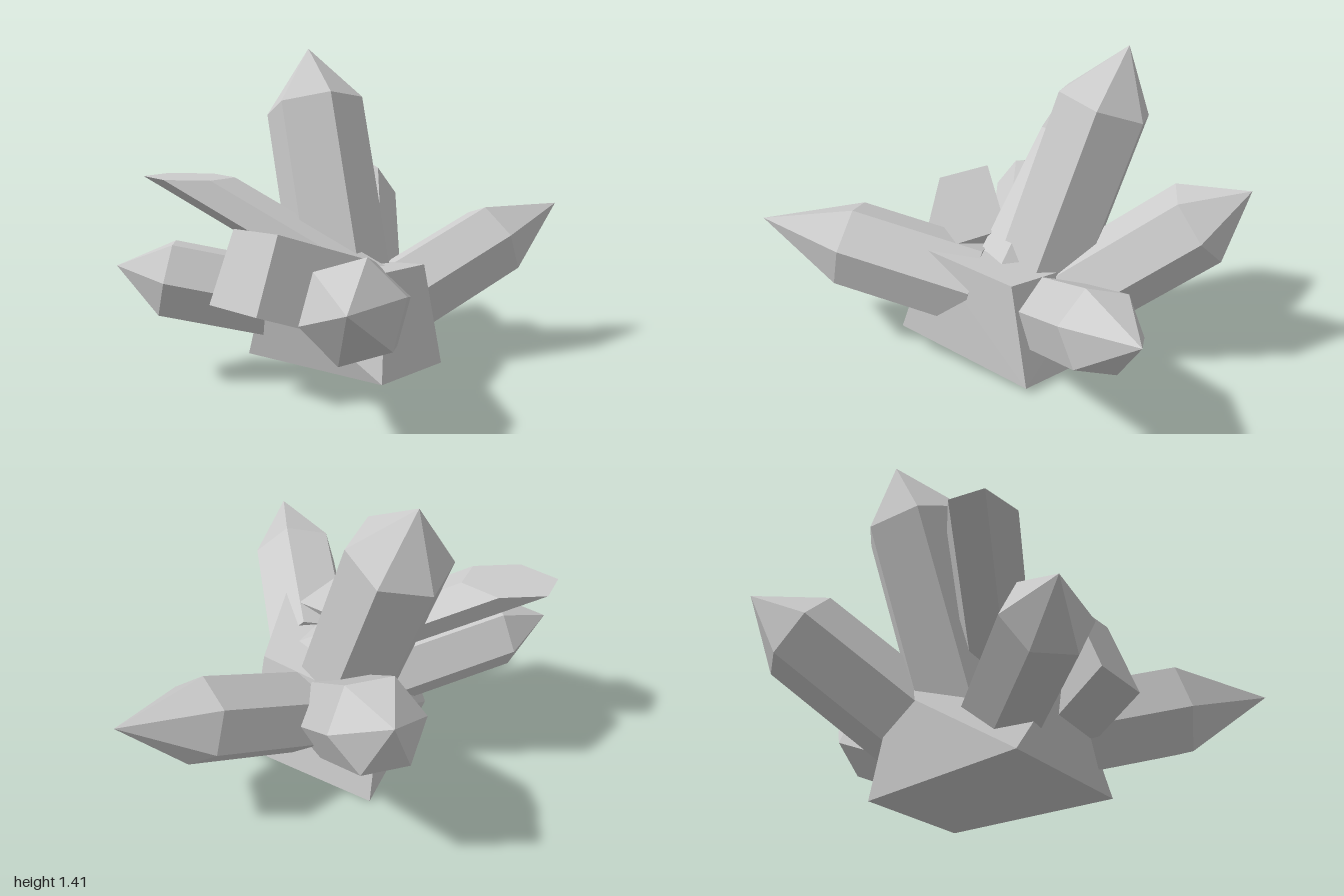
import * as THREE from 'three';
import { ConvexGeometry } from 'three/addons/geometries/ConvexGeometry.js';

const V = (a) => new THREE.Vector3(...a);
const material = new THREE.MeshStandardMaterial({ color: 0xcccccc, flatShading: true });

// Six-sided prism from base to shoulder, closed by a point at tip.
// corner fixes radius and roll; nextCorner is given only for an oblique cut.
function crystal({ name, base, shoulder, tip, corner, nextCorner }) {
  const b = V(base), s = V(shoulder), t = V(tip);
  const p = V(corner).sub(s);
  let q;
  if (nextCorner) {
    q = V(nextCorner).sub(s);
  } else {
    const n = s.clone().sub(b).normalize();
    const radius = p.length();
    p.addScaledVector(n, -p.dot(n)).setLength(radius);
    q = p.clone().applyAxisAngle(n, Math.PI / 3);
  }
  const half = [p, q, q.clone().sub(p)];
  const offsets = [...half, ...half.map((o) => o.clone().negate())];
  const low = offsets.map((o) => b.clone().add(o));
  const high = offsets.map((o) => s.clone().add(o));
  const points = [];
  for (let i = 0; i < 6; i++) {
    const j = (i + 1) % 6;
    points.push(low[i], low[j], high[j], low[i], high[j], high[i]); // side
    points.push(high[i], high[j], t); // point
    points.push(low[j], low[i], b); // bottom
  }
  const geometry = new THREE.BufferGeometry().setFromPoints(points);
  geometry.computeVertexNormals();
  const mesh = new THREE.Mesh(geometry, material);
  mesh.name = name;
  return mesh;
}

// Block with flat faces spanned by its corners
function block(name, corners) {
  const mesh = new THREE.Mesh(new ConvexGeometry(corners.map(V)), material);
  mesh.name = name;
  return mesh;
}

const crystals = [
  { name: 'tallCrystal', base: [-0.125, 0.3, -0.17], shoulder: [-0.095, 1.155, -0.475],
    tip: [-0.07, 1.41, -0.57], corner: [-0.13, 1.235, -0.272] },
  { name: 'leftCrystal', base: [0.11, 0.285, -0.135], shoulder: [0.64, 0.522, -0.085],
    tip: [0.995, 0.672, -0.05], corner: [0.57, 0.69, -0.05] },
  { name: 'backCrystal', base: [-0.035, 0.22, -0.195], shoulder: [0.293, 0.7, -0.742],
    tip: [0.41, 0.865, -0.92], corner: [0.33, 0.83, -0.6] },
  { name: 'frontCrystal', base: [-0.2, 0.342, 0.1], shoulder: [-0.55, 0.485, 0.58],
    tip: [-0.78, 0.575, 0.915], corner: [-0.47, 0.67, 0.555] },
  { name: 'rightCrystal', base: [-0.3, 0.32, -0.19], shoulder: [-0.825, 0.45, -0.475],
    tip: [-1, 0.5, -0.6], corner: [-0.84, 0.605, -0.395] },
  // Broken crystal with a level flat end
  { name: 'flatCrystal', base: [-0.16, 0.46, -0.04], shoulder: [-0.652, 0.855, -0.617],
    tip: [-0.652, 0.855, -0.617], corner: [-0.81, 0.855, -0.75], nextCorner: [-0.79, 0.855, -0.57] },
];

export function createModel() {
  const group = new THREE.Group();
  group.name = 'crystalCluster';

  // Tilted rock at the foot
  group.add(block('baseRock', [
    [0.24, 0.025, 0.05], [-0.32, 0.125, 0.42], [0.07, 0, -0.53], [-0.52, 0.1, -0.33],
    [0.13, 0.49, 0.07], [-0.23, 0.54, 0.31], [-0.01, 0.44, -0.49], [-0.56, 0.47, -0.09],
  ]));

  // Smaller block leaning out to the side
  group.add(block('sideBlock', [
    [-0.6, 0.7, 0.11], [-0.66, 0.69, -0.16], [-0.78, 0.39, -0.15], [-0.715, 0.39, 0.14],
    [-0.2, 0.56, 0.19], [-0.26, 0.55, -0.08], [-0.38, 0.25, -0.07], [-0.32, 0.25, 0.22],
  ]));

  for (const spec of crystals) group.add(crystal(spec));
  return group;
}
